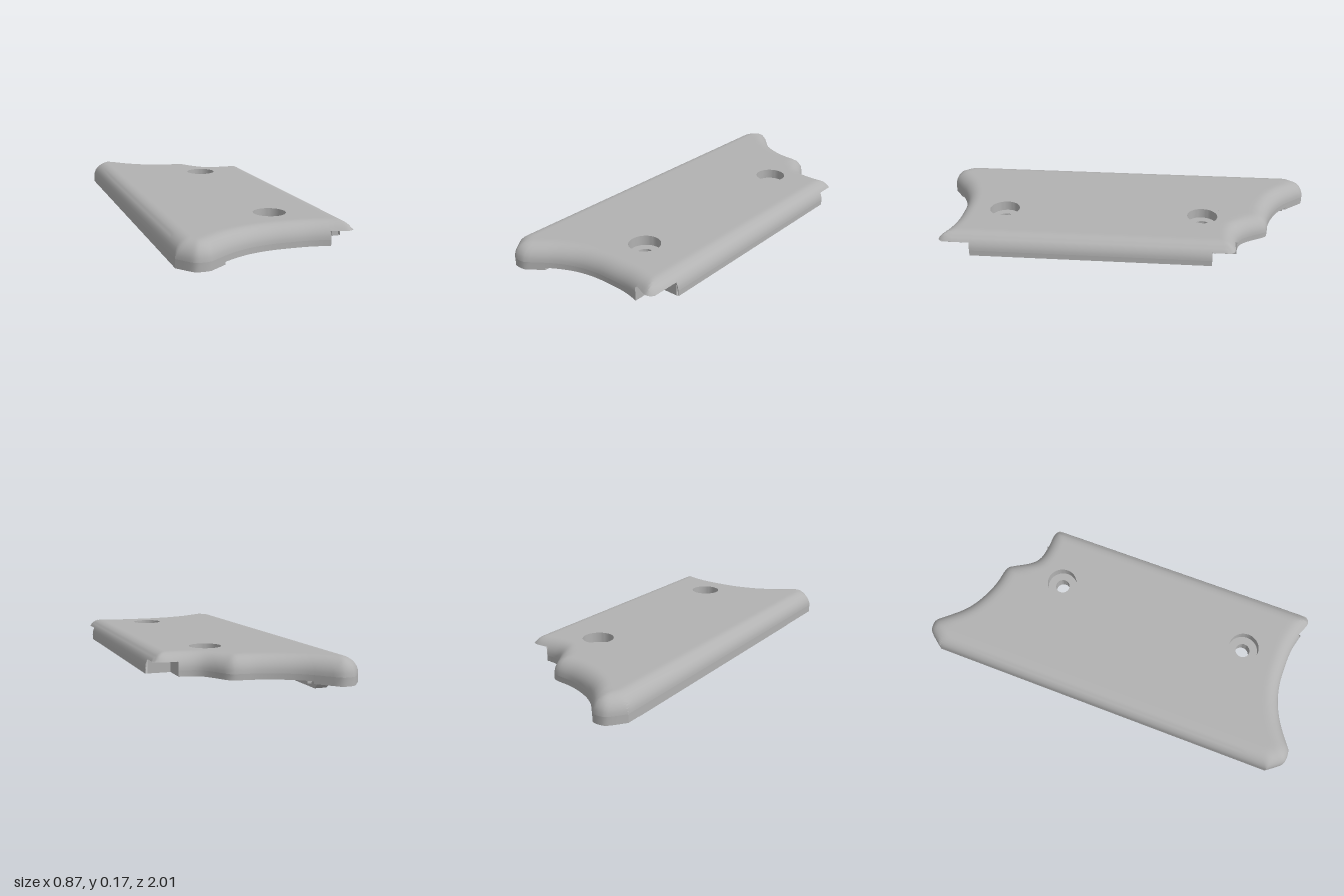
import * as THREE from 'three';
import { toCreasedNormals } from 'three/addons/utils/BufferGeometryUtils.js';

const HALF = 0.433, TOP = 0.175, R = 0.08, LIP = 0.135;
const BASE = 0.067, PAD = 0.055, STEP = -0.22, FLANGE = 0.31;
const NOTCH_BACK = -0.48, NOTCH_FRONT = 0.73;
const CLIP = R - Math.sqrt(R * R - (LIP - TOP + R) ** 2);
const SCREWS = [-0.43, 0.61], SCREW_X = 0.12;

// Curved ends of the outline, as z over x
function outline(points) {
  return new THREE.SplineCurve(points.map(p => new THREE.Vector2(...p))).getSpacedPoints(140);
}
const backLine = outline([[-HALF, -0.92], [-0.385, -0.982], [-0.36, -1], [-0.31, -1], [-0.28, -0.97],
  [-0.19, -0.875], [-0.1, -0.82], [0, -0.785], [0.09, -0.772], [0.125, -0.757], [0.165, -0.69],
  [0.2, -0.64], [0.24, -0.615], [0.3, -0.605], [0.385, -0.604], [0.42, -0.587], [HALF, -0.55]]);
const frontLine = outline([[-HALF, 0.92], [-0.385, 0.982], [-0.36, 1], [-0.305, 1], [-0.27, 0.977],
  [-0.18, 0.917], [-0.08, 0.873], [0.02, 0.853], [0.12, 0.85], [0.22, 0.855], [0.31, 0.875],
  [0.385, 0.902], [0.42, 0.885], [HALF, 0.845]]);

function zAt(line, x) {
  let i = 1;
  while (i < line.length - 1 && line[i].x < x) i++;
  const a = line[i - 1], b = line[i];
  const t = THREE.MathUtils.clamp((x - a.x) / (b.x - a.x), 0, 1);
  return a.y + (b.y - a.y) * t;
}
const back = x => zAt(backLine, x);
const front = x => zAt(frontLine, x);

function edgeDistance(x, z) {
  let best = Math.min(HALF - x, x + HALF);
  for (const line of [backLine, frontLine]) {
    for (let i = 1; i < line.length; i++) {
      const a = line[i - 1], dx = line[i].x - a.x, dz = line[i].y - a.y;
      const t = THREE.MathUtils.clamp(((x - a.x) * dx + (z - a.y) * dz) / (dx * dx + dz * dz), 0, 1);
      best = Math.min(best, Math.hypot(x - a.x - t * dx, z - a.y - t * dz));
    }
  }
  return Math.max(0, best);
}

const inNotch = (x, z) => x > FLANGE && (z < NOTCH_BACK || z > NOTCH_FRONT);

// Point on the rounded upper surface, clipped at the lips above the notches
function surfacePoint(x, z) {
  const d = edgeDistance(x, z);
  if (inNotch(x, z) && d < CLIP) {
    const cx = Math.min(x, HALF - CLIP);
    return [cx, LIP, THREE.MathUtils.clamp(z, back(cx) + CLIP, front(cx) - CLIP)];
  }
  return [x, TOP - R + Math.sqrt(Math.max(0, R * R - Math.max(0, R - d) ** 2)), z];
}

function shellGeometry() {
  const ease = Array.from({ length: 11 }, (_, k) => 1 - Math.cos(k * Math.PI / 20));
  const xs = [STEP - 1e-4, STEP + 1e-4, FLANGE - 1e-4, FLANGE + 1e-4];
  ease.forEach(e => xs.push(-HALF + R * e, HALF - R * e));
  for (let k = -17; k <= 17; k++) xs.push(k / 50);
  xs.sort((a, b) => a - b);
  const straight = [-0.515, NOTCH_BACK - 1e-4, NOTCH_BACK + 1e-4, -0.345, 0, 0.525, 0.695,
    NOTCH_FRONT - 1e-4, NOTCH_FRONT + 1e-4, 0.76];
  const grid = xs.map(x => {
    const b = back(x), f = front(x);
    const wb = Math.min(0.16, -0.515 - b), wf = Math.min(0.16, f - 0.76);
    const zs = [...ease.map(e => b + wb * e), ...straight, ...ease.map(e => f - wf * e).reverse()];
    return zs.map(z => surfacePoint(x, z));
  });
  const pos = [];
  const quad = (a, b, c, d) => pos.push(...a, ...b, ...c, ...c, ...b, ...d);
  const rows = grid[0].length;
  for (let i = 0; i < xs.length - 1; i++) {
    for (let j = 0; j < rows - 1; j++) {
      const a = grid[i][j], d = grid[i + 1][j + 1];
      const mx = (xs[i] + xs[i + 1]) / 2, mz = (a[2] + d[2]) / 2;
      // Leave square openings for the screw hole surrounds
      if (Math.abs(mx - SCREW_X) < 0.1 && SCREWS.some(z => Math.abs(mz - z) < 0.085)) continue;
      quad(a, grid[i][j + 1], grid[i + 1][j], d);
    }
  }
  // Side walls down to the underside
  const drop = ([x, , z]) => [x, inNotch(x, z) ? LIP : x < STEP ? PAD : BASE, z];
  const wall = (a, b) => quad(a, b, drop(a), drop(b));
  for (let i = 0; i < xs.length - 1; i++) {
    wall(grid[i + 1][0], grid[i][0]);
    wall(grid[i][rows - 1], grid[i + 1][rows - 1]);
  }
  const last = grid[xs.length - 1];
  for (let j = 0; j < rows - 1; j++) {
    wall(grid[0][j], grid[0][j + 1]);
    wall(last[j + 1], last[j]);
  }
  const g = new THREE.BufferGeometry();
  g.setAttribute('position', new THREE.Float32BufferAttribute(pos, 3));
  return toCreasedNormals(g, 0.6);
}

// Flat downward sheet between two z limits, with round holes [x, z, radius]
function sheetGeometry(x0, x1, zBack, zFront, y, holes = []) {
  const n = 50, pts = [];
  const xAt = i => x0 + (x1 - x0) * i / n;
  for (let i = 0; i <= n; i++) pts.push(new THREE.Vector2(xAt(i), zBack(xAt(i))));
  for (let i = n; i >= 0; i--) pts.push(new THREE.Vector2(xAt(i), zFront(xAt(i))));
  const shape = new THREE.Shape(pts);
  for (const [x, z, r] of holes) shape.holes.push(new THREE.Path().absarc(x, z, r, 0, Math.PI * 2, true));
  return new THREE.ShapeGeometry(shape, 24).rotateX(Math.PI / 2).translate(0, y, 0);
}

export function createModel() {
  const model = new THREE.Group();
  const grey = new THREE.MeshStandardMaterial({ color: 0xb2b2b2, side: THREE.DoubleSide });
  grey.name = 'grey';
  const add = (name, geometry, x = 0, y = 0, z = 0) => {
    const mesh = new THREE.Mesh(geometry, grey);
    mesh.name = name;
    mesh.position.set(x, y, z);
    model.add(mesh);
  };
  const at = z => () => z;

  add('roundedShell', shellGeometry());

  // Counterbored screw holes with their flat surrounds
  const bore = [[0.037, BASE], [0.037, 0.125], [0.078, 0.125], [0.078, TOP]].map(p => new THREE.Vector2(...p));
  for (const z of SCREWS) {
    add('screwHole', toCreasedNormals(new THREE.LatheGeometry(bore, 48), 0.6), SCREW_X, 0, z);
    add('screwSurround', sheetGeometry(SCREW_X - 0.1, SCREW_X + 0.1, at(z - 0.085), at(z + 0.085), TOP,
      [[SCREW_X, z, 0.078]]));
  }

  // Underside with blind pockets
  const pockets = [[-0.13, -0.53, 0.055], [-0.13, 0.79, 0.055]];
  add('underside', sheetGeometry(STEP, FLANGE, back, front, BASE,
    [...pockets, ...SCREWS.map(z => [SCREW_X, z, 0.037])]));
  for (const [x, z, r] of pockets) {
    add('pocketWall', new THREE.CylinderGeometry(r, r, 0.06, 32, 1, true), x, BASE + 0.03, z);
    add('pocketEnd', new THREE.CircleGeometry(r, 32).rotateX(Math.PI / 2), x, BASE + 0.06, z);
  }
  add('railPad', sheetGeometry(-HALF, STEP, back, front, PAD));
  const padLength = front(STEP) - back(STEP);
  add('railPadStep', new THREE.PlaneGeometry(padLength, BASE - PAD).rotateY(Math.PI / 2),
    STEP, (BASE + PAD) / 2, (front(STEP) + back(STEP)) / 2);
  const tabBack = back(STEP + 0.02);
  add('railPadTab', new THREE.BoxGeometry(0.02, BASE - PAD, -0.7 - tabBack),
    STEP + 0.01, (BASE + PAD) / 2, (tabBack - 0.7) / 2);

  // Side flange and the notches at its ends
  add('flangeBottom', sheetGeometry(FLANGE, HALF, at(NOTCH_BACK), at(NOTCH_FRONT), BASE));
  const lipEnd = HALF - CLIP;
  add('backLip', sheetGeometry(FLANGE, lipEnd, x => back(x) + CLIP, at(NOTCH_BACK), LIP));
  add('frontLip', sheetGeometry(FLANGE, lipEnd, at(NOTCH_FRONT), x => front(x) - CLIP, LIP));
  const h = LIP - BASE, mid = (LIP + BASE) / 2;
  for (const [inner, outer] of [[NOTCH_BACK, back(FLANGE)], [NOTCH_FRONT, front(FLANGE)]]) {
    add('notchEnd', new THREE.PlaneGeometry(lipEnd - FLANGE, h), (lipEnd + FLANGE) / 2, mid, inner);
    add('notchSide', new THREE.PlaneGeometry(Math.abs(outer - inner), h).rotateY(Math.PI / 2),
      FLANGE, mid, (inner + outer) / 2);
  }

  // Locating rail with chamfered ends
  const rail = new THREE.Shape([[-0.78, PAD], [-0.78, 0.024], [-0.755, 0], [0.755, 0], [0.78, 0.024], [0.78, PAD]]
    .map(p => new THREE.Vector2(...p)));
  add('rail', new THREE.ExtrudeGeometry(rail, { depth: 0.063, bevelEnabled: false }).rotateY(-Math.PI / 2), -0.305);
  return model;
}
